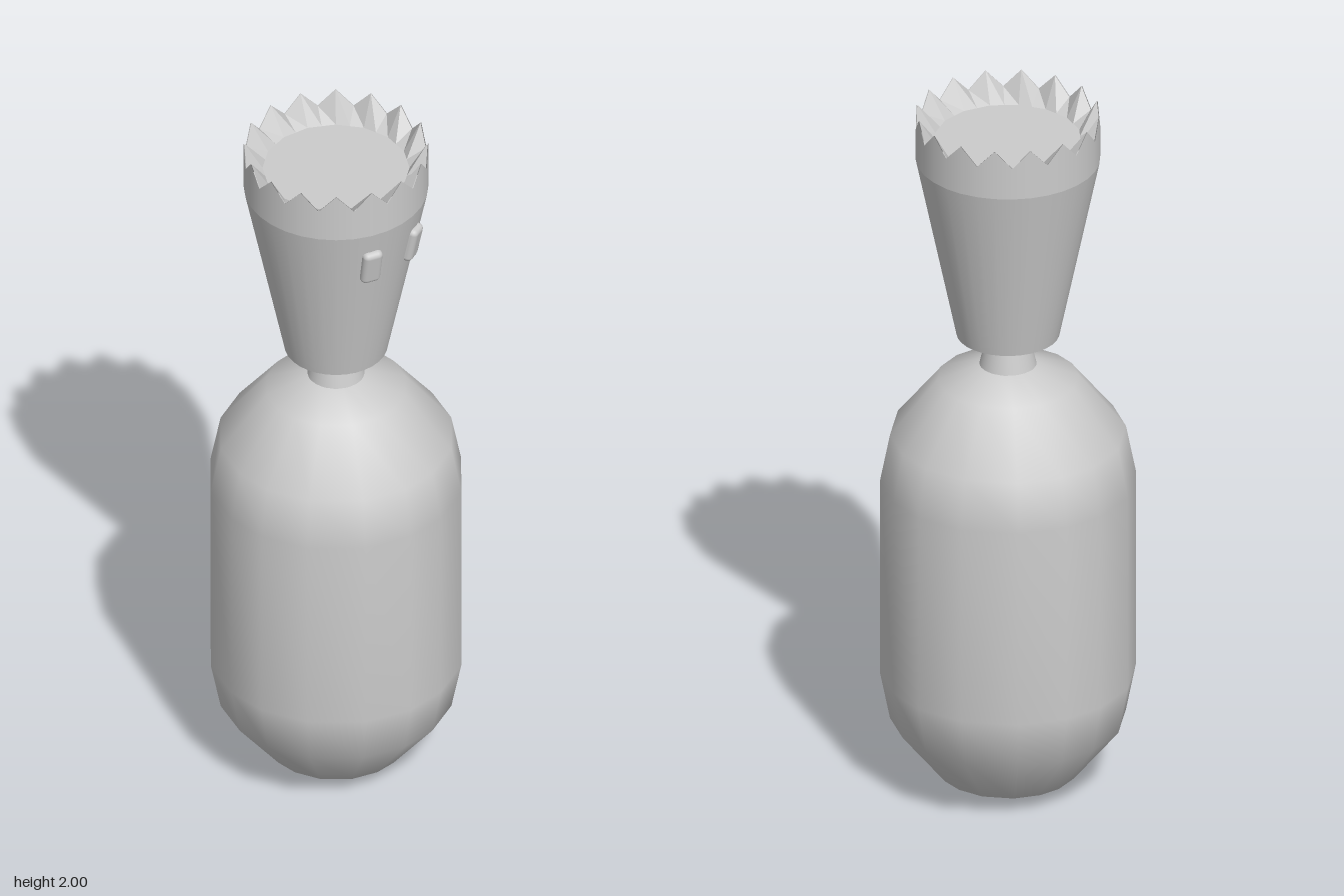
import * as THREE from 'three';
import { mergeVertices } from 'three/addons/utils/BufferGeometryUtils.js';
import { RoundedBoxGeometry } from 'three/addons/geometries/RoundedBoxGeometry.js';

const smooth = new THREE.MeshStandardMaterial({ color: 0xcccccc });
const flat = new THREE.MeshStandardMaterial({ color: 0xcccccc, flatShading: true, side: THREE.DoubleSide });
const open = new THREE.MeshStandardMaterial({ color: 0xcccccc, side: THREE.DoubleSide });

function add(parent, name, geometry, material = smooth, y = 0) {
  const mesh = new THREE.Mesh(geometry, material);
  mesh.name = name;
  mesh.position.y = y;
  parent.add(mesh);
  return mesh;
}

// Capsule with 16 sides, narrower facets on the four axes
function bodyGeometry() {
  const half = [[0, 0.003], [0.065, 0.003], [0.188, 0.05], [0.314, 0.208], [0.341, 0.345]];
  const profile = [...half, ...half.map(([r, y]) => [r, 1.258 - y]).reverse()];
  const lathe = new THREE.LatheGeometry(profile.map(([r, y]) => new THREE.Vector2(r, y)), 16, Math.PI / 16);
  const p = lathe.attributes.position;
  for (let i = 0; i < p.count; i++) {
    const r = Math.hypot(p.getX(i), p.getZ(i));
    let a = Math.atan2(p.getX(i), p.getZ(i));
    a -= 0.045 * Math.sin(4 * a);
    p.setX(i, r * Math.sin(a));
    p.setZ(i, r * Math.cos(a));
  }
  lathe.deleteAttribute('uv');
  lathe.deleteAttribute('normal');
  const g = mergeVertices(lathe, 1e-4);
  g.computeVertexNormals();
  return g;
}

// Open ring of 32 sides whose top edge zigzags into 16 teeth
function toothedRing(rTop, rBottom, yBottom) {
  const g = new THREE.CylinderGeometry(rTop, rBottom, 1, 32, 1, true);
  const p = g.attributes.position;
  for (let i = 0; i < p.count; i++) {
    const odd = (i % 33) % 2 === 1;
    if (p.getY(i) > 0) {
      p.setY(i, odd ? 1.95 : 2);
    } else {
      p.setY(i, yBottom);
      // inner foot follows the 16-sided floor
      if (odd && rBottom < rTop) {
        const k = Math.cos(Math.PI / 16);
        p.setX(i, p.getX(i) * k);
        p.setZ(i, p.getZ(i) * k);
      }
    }
  }
  return g;
}

export function createModel() {
  const model = new THREE.Group();

  add(model, 'body', bodyGeometry());
  add(model, 'neck', new THREE.CylinderGeometry(0.052, 0.076, 0.1, 32), smooth, 1.3);
  add(model, 'head', new THREE.CylinderGeometry(0.245, 0.137, 0.52, 32), smooth, 1.6);

  // Crown: outer wall, sloping inner wall and floor
  const crown = new THREE.Group();
  crown.name = 'crown';
  model.add(crown);
  add(crown, 'crownWall', toothedRing(0.245, 0.245, 1.86), open);
  add(crown, 'crownInside', toothedRing(0.243, 0.195, 1.92), flat);
  add(crown, 'crownFloor', new THREE.CircleGeometry(0.195, 16).rotateX(-Math.PI / 2), smooth, 1.92);

  // Eyes lie on the sloping side of the head, facing +x
  for (const side of [1, -1]) {
    const turn = new THREE.Group();
    turn.name = side > 0 ? 'eyeFrontSide' : 'eyeBackSide';
    turn.rotation.y = -side * 0.355;
    const eye = add(turn, 'eye', new RoundedBoxGeometry(0.034, 0.108, 0.056, 3, 0.015), smooth, 1.745);
    eye.position.x = 0.221;
    eye.rotation.z = -0.2;
    model.add(turn);
  }
  return model;
}
